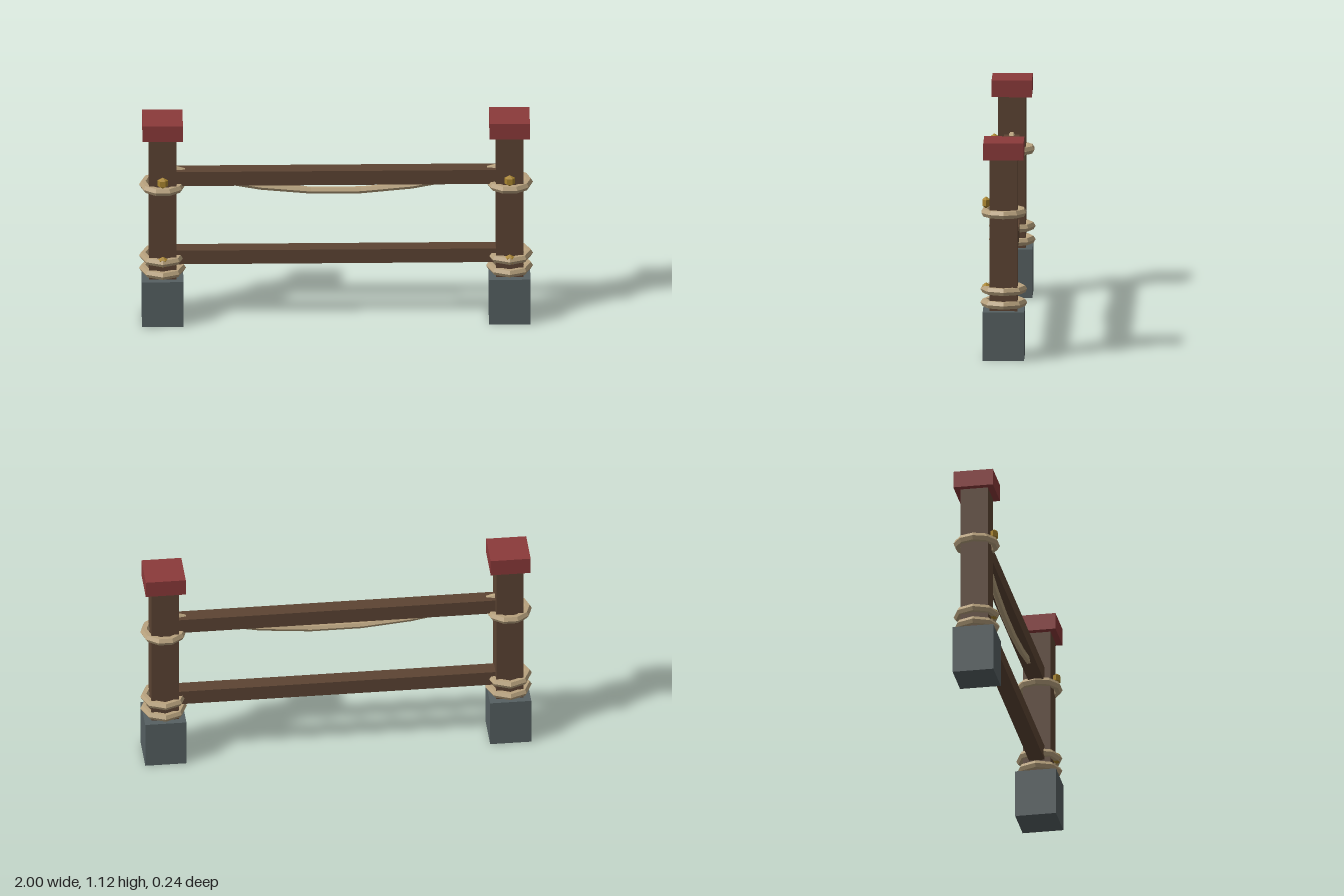
import * as THREE from 'three';

const mat = (name, color) => {
  const m = new THREE.MeshStandardMaterial({ color, flatShading: true });
  m.name = name;
  return m;
};

export function createModel() {
  const wood = mat('brown wood', 0x5c4433);
  const stone = mat('grey stone', 0x566062);
  const red = mat('red paint', 0x8b3a3a);
  const rope = mat('tan rope', 0xb8a27e);
  const gold = mat('gold', 0xa8842f);

  const model = new THREE.Group();
  model.name = 'fence';

  const add = (parent, name, geometry, material, x, y, z) => {
    const mesh = new THREE.Mesh(geometry, material);
    mesh.name = name;
    mesh.position.set(x, y, z);
    parent.add(mesh);
    return mesh;
  };

  const postX = 0.88;

  // Posts with stone feet, painted caps, rope bindings and gold studs
  for (const [side, x] of [['left', postX], ['right', -postX]]) {
    const post = new THREE.Group();
    post.name = side + 'Post';
    post.position.x = x;
    model.add(post);

    add(post, 'foot', new THREE.BoxGeometry(0.21, 0.25, 0.21), stone, 0, 0.125, 0);
    add(post, 'shaft', new THREE.BoxGeometry(0.14, 0.8, 0.14), wood, 0, 0.64, 0);
    add(post, 'cap', new THREE.BoxGeometry(0.204, 0.087, 0.204), red, 0, 1.077, 0);

    // Rope rings: height, radius, thickness, sides
    for (const [y, radius, tube, sides] of [
      [0.75, 0.097, 0.022, 10],
      [0.353, 0.098, 0.021, 8],
      [0.283, 0.098, 0.021, 8],
    ]) {
      const ring = new THREE.TorusGeometry(radius, tube, 6, sides).rotateX(Math.PI / 2);
      add(post, 'ropeRing', ring, rope, 0, y, 0);
    }

    // Front studs
    for (const y of [0.798, 0.355]) {
      const stud = add(post, 'stud', new THREE.SphereGeometry(0.031, 6, 3), gold, 0, y, 0.09);
      stud.scale.z = 0.75;
    }
  }

  // Rails
  add(model, 'topRail', new THREE.BoxGeometry(1.7, 0.078, 0.08), wood, 0, 0.796, 0);
  add(model, 'bottomRail', new THREE.BoxGeometry(1.7, 0.076, 0.08), wood, 0, 0.358, 0);

  // Rope sagging between the posts
  const points = [];
  for (let i = 0; i <= 7; i++) {
    const x = -postX + (2 * postX * i) / 7;
    points.push(new THREE.Vector3(x, 0.708 + 0.184 * x * x, 0));
  }
  const sag = new THREE.CatmullRomCurve3(points);
  add(model, 'saggingRope', new THREE.TubeGeometry(sag, 7, 0.018, 6), rope, 0, 0, 0);

  return model;
}
